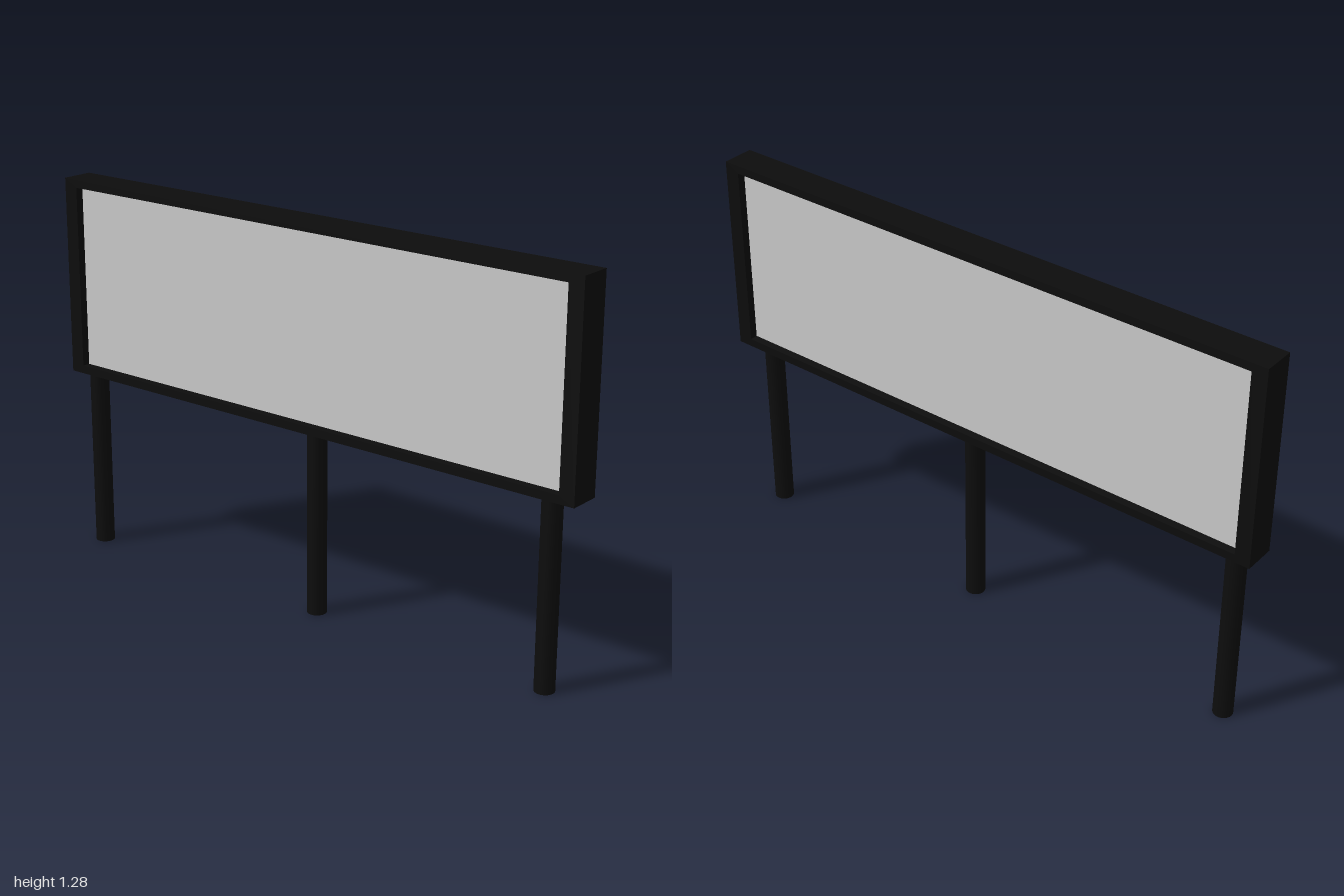
import * as THREE from 'three';

export function createModel() {
  const model = new THREE.Group();
  const black = new THREE.MeshStandardMaterial({ color: 0x0d0d0d });
  const grey = new THREE.MeshStandardMaterial({ color: 0xcccccc });

  const bottom = 0.615, top = 1.28, depth = 0.108;
  const midY = (bottom + top) / 2, height = top - bottom;
  const sideBorder = 0.051, railBorder = 0.027, recess = 0.027;

  const add = (name, geometry, material, parent = model) => {
    const mesh = new THREE.Mesh(geometry, material);
    mesh.name = name;
    parent.add(mesh);
    return mesh;
  };

  // Rectangular frame, extruded through the thickness of the sign
  const outline = new THREE.Shape([
    [-1, bottom], [1, bottom], [1, top], [-1, top],
  ].map(([a, b]) => new THREE.Vector2(a, b)));
  const w = 1 - sideBorder;
  outline.holes.push(new THREE.Path([
    [-w, bottom + railBorder], [-w, top - railBorder],
    [w, top - railBorder], [w, bottom + railBorder],
  ].map(([a, b]) => new THREE.Vector2(a, b))));
  const frame = new THREE.ExtrudeGeometry(outline, { depth, bevelEnabled: false });
  frame.translate(0, 0, -depth / 2).rotateY(Math.PI / 2);
  add('frame', frame, black);

  // Display panel, set back from the frame on both faces
  const panel = new THREE.BoxGeometry(depth - 2 * recess, height - 2 * railBorder, 2 * w);
  add('displayPanel', panel, grey).position.y = midY;

  // Three round posts
  const posts = new THREE.Group();
  posts.name = 'posts';
  model.add(posts);
  const post = new THREE.CylinderGeometry(0.032, 0.032, bottom, 24);
  [['frontPost', 0.896], ['middlePost', 0.033], ['rearPost', -0.928]].forEach(([name, z]) => {
    add(name, post, black, posts).position.set(0, bottom / 2, z);
  });

  return model;
}
